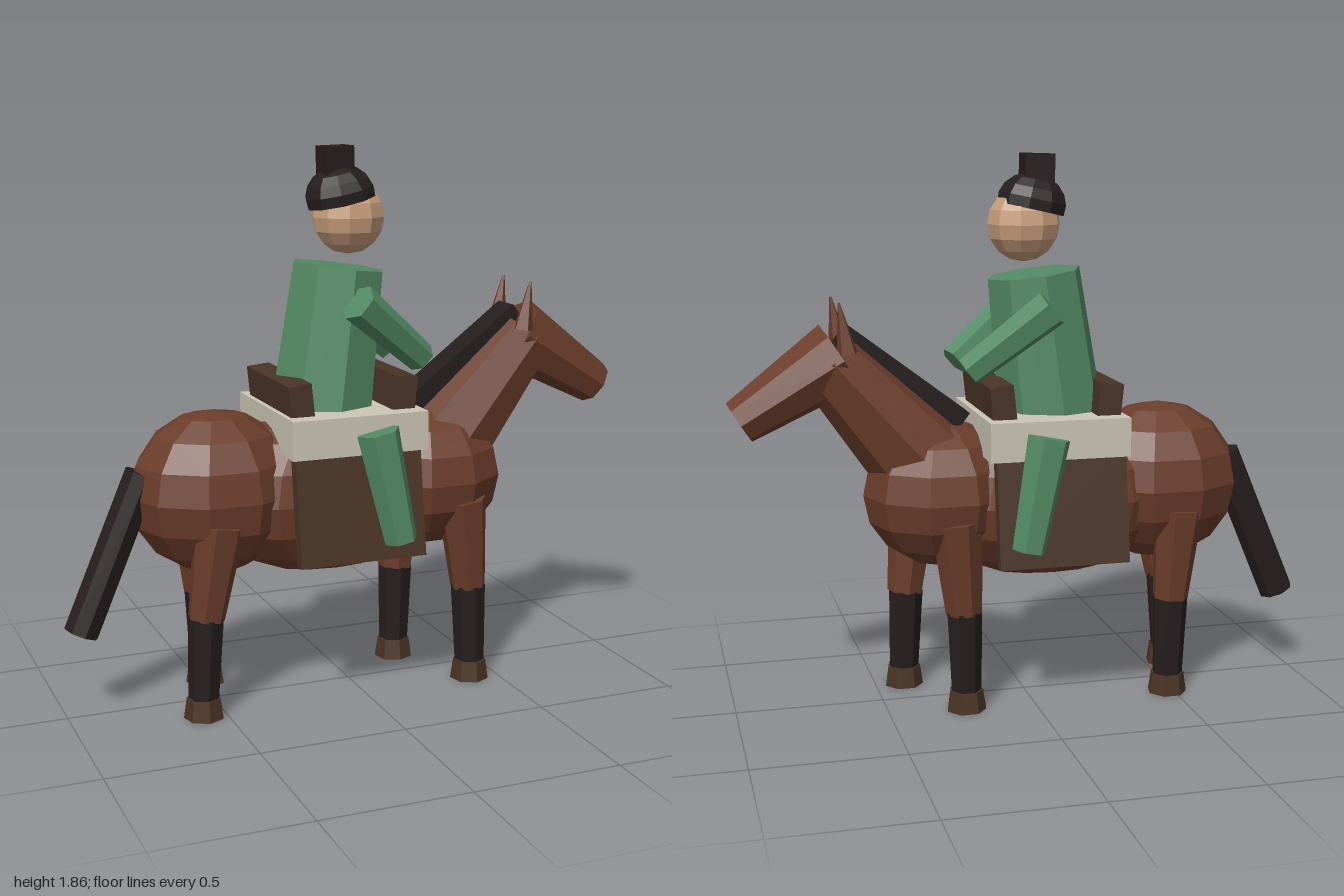
import * as THREE from 'three';

function mat(name, color) {
  const m = new THREE.MeshStandardMaterial({ color, flatShading: true });
  m.name = name;
  return m;
}

export function createModel() {
  const model = new THREE.Group();
  model.name = 'horseAndRider';

  const coat = mat('chestnut coat', 0x6b3d2b);
  const black = mat('black hair', 0x261d1e);
  const hoofMat = mat('hoof brown', 0x4a3324);
  const leather = mat('saddle leather', 0x4a3426);
  const cream = mat('cream cloth', 0xcdc5b5);
  const green = mat('green robe', 0x548a64);
  const skin = mat('skin', 0xc69c7b);

  const add = (name, geo, material, pos = [0, 0, 0], rot = [0, 0, 0]) => {
    const mesh = new THREE.Mesh(geo, material);
    mesh.name = name;
    mesh.position.set(...pos);
    mesh.rotation.set(...rot);
    model.add(mesh);
    return mesh;
  };

  // Tapered faceted cylinder running from point a to point b
  const limb = (name, material, a, b, ra, rb, sides = 7) => {
    const start = new THREE.Vector3(...a);
    const end = new THREE.Vector3(...b);
    const dir = end.clone().sub(start);
    const mesh = add(name, new THREE.CylinderGeometry(rb, ra, dir.length(), sides), material);
    mesh.position.copy(start.add(end).multiplyScalar(0.5));
    mesh.quaternion.setFromUnitVectors(new THREE.Vector3(0, 1, 0), dir.normalize());
    return mesh;
  };

  const ball = (name, material, pos, radii, w = 10, h = 8) =>
    add(name, new THREE.SphereGeometry(1, w, h).scale(...radii), material, pos);

  const box = (name, material, size, pos, rot) =>
    add(name, new THREE.BoxGeometry(...size), material, pos, rot);

  // Horse body, neck and head
  ball('barrel', coat, [-0.08, 0.7, 0], [0.5, 0.28, 0.25], 12, 8);
  ball('hindquarters', coat, [-0.48, 0.73, 0], [0.29, 0.275, 0.25]);
  ball('chest', coat, [0.29, 0.725, 0], [0.265, 0.25, 0.25]);
  limb('neck', coat, [0.28, 0.76, 0], [0.66, 1.19, 0], 0.19, 0.12, 8);
  limb('horseHead', coat, [0.625, 1.2, 0], [0.957, 0.993, 0], 0.125, 0.077, 8);
  box('mane', black, [0.5, 0.09, 0.11], [0.425, 1.115, 0], [0, 0, 0.65]);
  limb('tail', black, [-0.725, 0.81, 0], [-0.945, 0.29, 0], 0.06, 0.06, 8);

  // Horse legs: x at the top, knee and hoof, then side
  const legs = [
    ['frontLeftLeg', 0.355, 0.39, 0.4, 1],
    ['frontRightLeg', 0.27, 0.245, 0.24, -1],
    ['hindLeftLeg', -0.515, -0.562, -0.575, 1],
    ['hindRightLeg', -0.505, -0.485, -0.478, -1],
  ];
  for (const [name, top, knee, foot, s] of legs) {
    const z = 0.152 * s;
    limb(name + 'Upper', coat, [top, 0.66, z * 1.06], [knee, 0.34, z], 0.088, 0.062);
    limb(name + 'Lower', black, [knee, 0.345, z], [foot, 0.06, z], 0.061, 0.052);
    limb(name + 'Hoof', hoofMat, [foot, 0, z], [foot, 0.07, z], 0.068, 0.058);
  }

  // Saddle
  box('saddlePad', cream, [0.475, 0.13, 0.54], [-0.06, 0.935, 0]);
  box('cantle', leather, [0.08, 0.12, 0.42], [-0.245, 1.045, 0], [0, 0, 0.1]);
  box('pommel', leather, [0.08, 0.12, 0.42], [0.12, 1.05, 0], [0, 0, -0.1]);

  // Rider body and head
  limb('torso', green, [-0.1, 0.96, 0], [-0.035, 1.46, 0], 0.182, 0.16, 8);
  ball('riderHead', skin, [0, 1.623, 0], [0.125, 0.125, 0.12]);
  const cap = new THREE.SphereGeometry(0.12, 10, 5, 0, Math.PI * 2, 0, Math.PI * 0.56).scale(1, 0.85, 1);
  black.side = THREE.DoubleSide;
  add('hairCap', cap, black, [-0.028, 1.69, 0], [0, 0, 0.22]);
  box('topKnot', black, [0.1, 0.1, 0.095], [-0.046, 1.805, 0], [0, 0, 0.03]);

  // Mirrored pairs
  for (const s of [1, -1]) {
    const side = s > 0 ? 'left' : 'right';
    limb(side + 'Ear', coat, [0.612, 1.22, 0.1 * s], [0.637, 1.385, 0.1 * s], 0.036, 0.004, 5);
    box(side + 'SaddleFlap', leather, [0.44, 0.37, 0.045], [-0.065, 0.7, 0.262 * s], [-0.15 * s, 0, 0]);
    limb(side + 'RiderLeg', green, [-0.012, 0.95, 0.29 * s], [0.063, 0.58, 0.312 * s], 0.073, 0.056, 6);
    limb(side + 'Arm', green, [-0.045, 1.362, 0.2 * s], [0.215, 1.152, 0.125 * s], 0.066, 0.052, 6);
  }

  return model;
}
